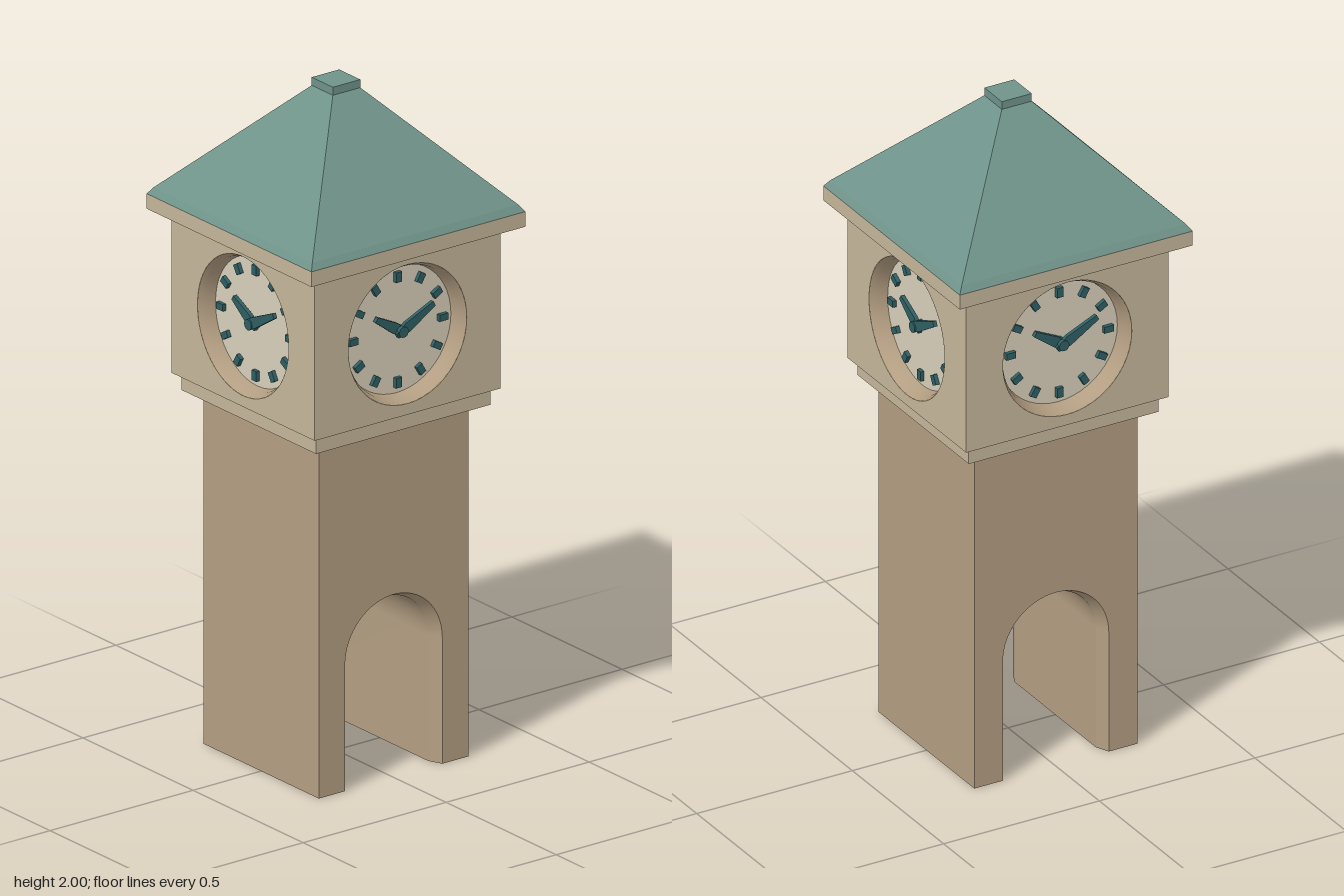
import * as THREE from 'three';
import { mergeGeometries } from 'three/addons/utils/BufferGeometryUtils.js';

const mat = (color) => new THREE.MeshStandardMaterial({ color, side: THREE.DoubleSide });
const SHAFT = mat(0xb39e82), STONE = mat(0xc5b69a), DIAL = mat(0xd9d0ba);
const TEAL = mat(0x2f5f63), ROOF = mat(0x6f938a);

const HALF = 0.262, SHAFT_TOP = 1.03;      // shaft
const ROOM = 0.325, ROOM_Y0 = 1.1, ROOM_Y1 = 1.585; // clock room
const CLOCK_Y = 1.34, CLOCK_R = 0.207, DIAL_R = 0.19, RECESS = 0.05;
const SPRING = 0.375;                      // height where the arch starts to curve

function add(parent, name, geometry, material) {
  const mesh = new THREE.Mesh(geometry, material);
  mesh.name = name;
  parent.add(mesh);
  return mesh;
}

// Square block from a bottom-to-top profile of [half width, height]
function squareProfile(profile) {
  const pts = profile.map(([w, y]) => new THREE.Vector2(w * Math.SQRT2, y));
  const g = new THREE.LatheGeometry(pts, 4, Math.PI / 4).toNonIndexed();
  g.computeVertexNormals();
  return g;
}

// Arch outline from the right foot, over the top, to the left foot
function archPoints(r, steps = 32) {
  const pts = [new THREE.Vector2(r, 0)];
  for (let i = 0; i <= steps; i++) {
    const a = (i / steps) * Math.PI;
    pts.push(new THREE.Vector2(Math.cos(a) * r, SPRING + Math.sin(a) * r));
  }
  pts.push(new THREE.Vector2(-r, 0));
  return pts;
}

// Strip of passage lining between two arch outlines
function archBand(r0, z0, r1, z1) {
  const a = archPoints(r0), b = archPoints(r1), pos = [], index = [];
  a.forEach((p, i) => {
    pos.push(p.x, p.y, z0, b[i].x, b[i].y, z1);
    if (i) {
      const k = 2 * i;
      index.push(k - 2, k - 1, k, k, k - 1, k + 1);
    }
  });
  const g = new THREE.BufferGeometry();
  g.setAttribute('position', new THREE.Float32BufferAttribute(pos, 3));
  g.setIndex(index);
  g.computeVertexNormals();
  return g;
}

function buildShaft() {
  const group = new THREE.Group();
  group.name = 'shaft';
  const outer = 0.17, inner = 0.152, cut = HALF - 0.04;

  // Front and back walls around the archway, plain side walls
  const face = new THREE.Shape([
    new THREE.Vector2(HALF, 0), new THREE.Vector2(HALF, SHAFT_TOP),
    new THREE.Vector2(-HALF, SHAFT_TOP), new THREE.Vector2(-HALF, 0),
    ...archPoints(outer).reverse(),
  ]);
  const archWall = new THREE.ShapeGeometry(face).translate(0, 0, HALF);
  const sideWall = new THREE.PlaneGeometry(2 * HALF, SHAFT_TOP).translate(0, SHAFT_TOP / 2, HALF);
  ['front', 'left', 'back', 'right'].forEach((side, i) => {
    const wall = add(group, side + 'ShaftWall', i % 2 ? sideWall : archWall, SHAFT);
    wall.rotation.y = i * Math.PI / 2;
  });

  // Passage with chamfered mouths
  add(group, 'archPassage', mergeGeometries([
    archBand(outer, HALF, inner, cut),
    archBand(inner, cut, inner, -cut),
    archBand(inner, -cut, outer, -HALF),
  ]), SHAFT);

  // Undersides of the two piers
  const foot = new THREE.Shape([
    [HALF, -HALF], [HALF, HALF], [outer, HALF], [inner, cut], [inner, -cut], [outer, -HALF],
  ].map(([x, z]) => new THREE.Vector2(x, z)));
  const footGeo = new THREE.ShapeGeometry(foot).rotateX(Math.PI / 2);
  add(group, 'leftPierFoot', footGeo, SHAFT);
  add(group, 'rightPierFoot', footGeo, SHAFT).rotation.y = Math.PI;
  return group;
}

// Tapered clock hand pointing along +y
function handGeometry(length) {
  const shape = new THREE.Shape([
    [-0.008, -0.02], [0.008, -0.02], [0.016, 0.02], [0.008, length], [-0.008, length], [-0.016, 0.02],
  ].map(([x, y]) => new THREE.Vector2(x, y)));
  return new THREE.ExtrudeGeometry(shape, { depth: 0.012, bevelEnabled: false });
}

// One wall of the clock room with its recessed clock, facing +z
function buildClockSide() {
  const group = new THREE.Group();
  const wall = new THREE.Shape([
    [-ROOM, ROOM_Y0], [ROOM, ROOM_Y0], [ROOM, ROOM_Y1], [-ROOM, ROOM_Y1],
  ].map(([x, y]) => new THREE.Vector2(x, y)));
  wall.holes.push(new THREE.Path().absarc(0, CLOCK_Y, CLOCK_R, 0, Math.PI * 2, true));
  add(group, 'clockRoomWall', new THREE.ShapeGeometry(wall, 48).translate(0, 0, ROOM), STONE);

  const clock = new THREE.Group();
  clock.name = 'clock';
  clock.position.set(0, CLOCK_Y, ROOM - RECESS);
  group.add(clock);

  // Splayed ring down to the dial
  const ring = [[CLOCK_R, RECESS], [0.196, 0.03], [DIAL_R, 0]].map(([r, z]) => new THREE.Vector2(r, z));
  add(clock, 'clockRing', new THREE.LatheGeometry(ring, 48).rotateX(Math.PI / 2), SHAFT);
  add(clock, 'dial', new THREE.CircleGeometry(DIAL_R, 48), DIAL);

  // Hour marks
  const mark = new THREE.BoxGeometry(0.02, 0.03, 0.012).translate(0, 0.157, 0.006);
  for (let i = 0; i < 12; i++) add(clock, 'hourMark', mark, TEAL).rotation.z = i * Math.PI / 6;

  // Hands and hub
  const hour = add(clock, 'hourHand', handGeometry(0.1), TEAL);
  hour.position.z = 0.01;
  hour.rotation.z = 1.02;
  const minute = add(clock, 'minuteHand', handGeometry(0.125), TEAL);
  minute.position.z = 0.018;
  minute.rotation.z = -1.08;
  const hub = new THREE.CylinderGeometry(0.016, 0.016, 0.034, 16).rotateX(Math.PI / 2);
  add(clock, 'handHub', hub, TEAL).position.z = 0.017;
  return group;
}

export function createModel() {
  const tower = new THREE.Group();
  tower.name = 'clockTower';
  tower.add(buildShaft());

  // Moulding between shaft and clock room
  add(tower, 'corbel', squareProfile([
    [0, SHAFT_TOP], [HALF, SHAFT_TOP], [0.305, 1.05], [0.305, ROOM_Y0],
  ]), STONE);
  add(tower, 'clockRoomFloor', squareProfile([[0, ROOM_Y0], [ROOM, ROOM_Y0]]), STONE);

  // Four identical clock sides
  ['front', 'left', 'back', 'right'].forEach((side, i) => {
    const clockSide = buildClockSide();
    clockSide.name = side + 'ClockSide';
    clockSide.rotation.y = i * Math.PI / 2;
    tower.add(clockSide);
  });

  // Cornice, roof and cap
  add(tower, 'cornice', squareProfile([
    [0, ROOM_Y1], [0.374, ROOM_Y1], [0.374, 1.63], [0, 1.63],
  ]), STONE);
  add(tower, 'roof', squareProfile([[0.374, 1.63], [0.36, 1.65], [0.046, 1.978]]), ROOF);
  add(tower, 'roofCap', squareProfile([
    [0, 1.975], [0.048, 1.975], [0.048, 2], [0, 2],
  ]), ROOF);
  return tower;
}
